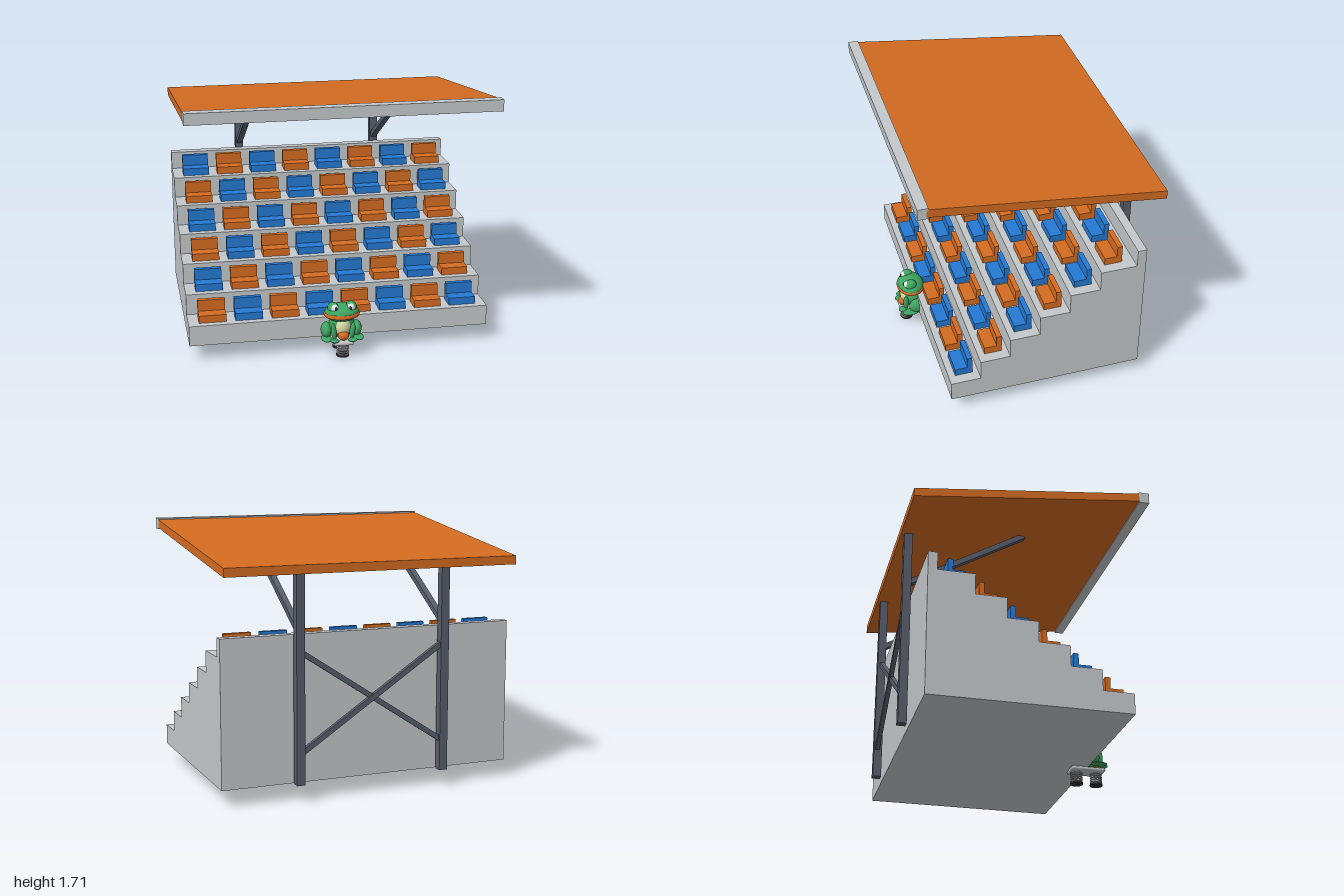
import * as THREE from 'three';
import { RoundedBoxGeometry } from 'three/addons/geometries/RoundedBoxGeometry.js';

const paint = (name, color) => {
  const m = new THREE.MeshStandardMaterial({ color });
  m.name = name;
  return m;
};

export function createModel() {
  const concrete = paint('concrete', 0xc4c8ca);
  const orange = paint('orange', 0xd46c22);
  const blue = paint('blue', 0x2479d2);
  const steel = paint('steel', 0x575e6b);
  const green = paint('green', 0x3fa562);
  const cream = paint('cream', 0xd9dba6);
  const white = paint('white', 0xf2f2f2);
  const dark = paint('dark', 0x2c2c34);
  const metal = paint('springMetal', 0xc2c3c9);

  const model = new THREE.Group();
  model.name = 'grandstand';

  const add = (parent, name, geometry, material, x = 0, y = 0, z = 0) => {
    const mesh = new THREE.Mesh(geometry, material);
    mesh.name = name;
    mesh.position.set(x, y, z);
    parent.add(mesh);
    return mesh;
  };
  const group = (name, parent = model) => {
    const g = new THREE.Group();
    g.name = name;
    parent.add(g);
    return g;
  };
  // Box given by its limits
  const block = (parent, name, mat, x0, x1, y0, y1, z0, z1) =>
    add(parent, name, new THREE.BoxGeometry(x1 - x0, y1 - y0, z1 - z0), mat,
      (x0 + x1) / 2, (y0 + y1) / 2, (z0 + z1) / 2);
  // Side profile of [z, y] points, extruded over the full width
  const acrossWidth = (points) => {
    const shape = new THREE.Shape(points.map(([z, y]) => new THREE.Vector2(z, y)));
    return new THREE.ExtrudeGeometry(shape, { depth: 2, bevelEnabled: false })
      .rotateY(-Math.PI / 2).translate(1, 0, 0);
  };
  // Square bar between two points
  const bar = (parent, name, from, to, w, d) => {
    const a = new THREE.Vector3(...from), b = new THREE.Vector3(...to);
    const dir = b.clone().sub(a);
    const mesh = add(parent, name, new THREE.BoxGeometry(w, dir.length(), d), steel);
    mesh.position.copy(a).add(b).multiplyScalar(0.5);
    mesh.quaternion.setFromUnitVectors(new THREE.Vector3(0, 1, 0), dir.normalize());
    return mesh;
  };
  const ball = (parent, name, mat, pos, radii) => {
    const mesh = add(parent, name, new THREE.SphereGeometry(1, 24, 16), mat, ...pos);
    mesh.scale.set(...radii);
    return mesh;
  };

  // Stepped terrace with a low wall behind the top row
  const rows = 6, rise = 0.14, run = 0.2, frontZ = 0.615, baseY = 0.113;
  const profile = [[-0.685, baseY], [frontZ, baseY]];
  for (let r = 0; r < rows; r++) {
    const y = 0.25 + r * rise;
    profile.push([frontZ - r * run, y], [r < rows - 1 ? frontZ - (r + 1) * run : -0.625, y]);
  }
  profile.push([-0.625, 1.07], [-0.685, 1.07]);
  add(model, 'terrace', acrossWidth(profile), concrete);

  // Seats in a checkerboard of two colours
  const seats = group('seats');
  for (let r = 0; r < rows; r++) {
    for (let i = 0; i < 8; i++) {
      const x = (i - 3.5) * 0.24, y = 0.25 + r * rise, z = 0.57 - r * run;
      const mat = (r + i) % 2 ? blue : orange;
      const seat = group('seat', seats);
      block(seat, 'seatBase', mat, x - 0.09, x + 0.09, y, y + 0.05, z - 0.085, z);
      block(seat, 'seatBack', mat, x - 0.09, x + 0.09, y, y + 0.125, z - 0.117, z - 0.083);
    }
  }

  // Sloping roof and its front edge
  add(model, 'roof', acrossWidth(
    [[-0.785, 1.455], [0.73, 1.645], [0.73, 1.702], [-0.785, 1.512]]), orange);
  block(model, 'roofFascia', concrete, -1, 1, 1.635, 1.71, 0.717, 0.785);

  // Posts, roof struts and cross bracing
  const frame = group('frame');
  for (const s of [-1, 1]) {
    block(frame, 'post', steel, s * 0.5 - 0.028, s * 0.5 + 0.028, 0.113, 1.475, -0.762, -0.706);
    bar(frame, 'roofStrut', [s * 0.5, 1.105, -0.72], [s * 0.5, 1.56, 0.055], 0.04, 0.036);
    bar(frame, 'crossBrace', [s * 0.5, 0.31, -0.734 - s * 0.004],
      [-s * 0.5, 0.97, -0.734 - s * 0.004], 0.034, 0.03);
  }

  // Spring rider: footplate on two coil springs
  const rider = group('springRider');
  add(rider, 'footplate', new RoundedBoxGeometry(0.13, 0.026, 0.236, 3, 0.011), metal, 0, 0.099, 0.617);
  const coil = [];
  for (let i = 0; i <= 60; i++) {
    const t = i / 60, a = t * 5 * Math.PI * 2;
    coil.push(new THREE.Vector3(0.036 * Math.cos(a), 0.012 + t * 0.074, 0.036 * Math.sin(a)));
  }
  const coilGeo = new THREE.TubeGeometry(new THREE.CatmullRomCurve3(coil), 160, 0.005, 6);
  for (const z of [0.685, 0.548]) {
    add(rider, 'spring', coilGeo, metal, 0, 0, z);
    add(rider, 'springFoot', new THREE.CylinderGeometry(0.043, 0.043, 0.012, 24), dark, 0, 0.006, z);
  }

  // Seated frog
  const frog = group('frog', rider);
  ball(frog, 'body', green, [0, 0.2, 0.635], [0.085, 0.088, 0.075]);
  ball(frog, 'belly', cream, [0, 0.2, 0.66], [0.06, 0.07, 0.062]);
  ball(frog, 'head', green, [0, 0.292, 0.645], [0.115, 0.06, 0.09]);
  const mouth = add(frog, 'mouthBand', new THREE.TorusGeometry(1, 0.14, 12, 40).rotateX(Math.PI / 2),
    orange, 0, 0.284, 0.645);
  mouth.scale.set(0.105, 0.115, 0.084);
  ball(frog, 'ball', orange, [0, 0.15, 0.705], [0.037, 0.033, 0.035]);
  for (const s of [-1, 1]) {
    ball(frog, 'eyeBulge', green, [s * 0.06, 0.33, 0.655], [0.037, 0.038, 0.042]);
    ball(frog, 'eyeWhite', white, [s * 0.055, 0.334, 0.68], [0.026, 0.027, 0.024]);
    ball(frog, 'pupil', dark, [s * 0.05, 0.334, 0.696], [0.012, 0.017, 0.01]);
    ball(frog, 'haunch', green, [s * 0.1, 0.165, 0.625], [0.036, 0.052, 0.055]);
    ball(frog, 'hindFoot', green, [s * 0.105, 0.121, 0.672], [0.036, 0.009, 0.06]);
    const leg = ball(frog, 'frontLeg', green, [s * 0.062, 0.175, 0.695], [0.018, 0.06, 0.02]);
    leg.rotation.z = s * -0.12;
    ball(frog, 'frontFoot', green, [s * 0.06, 0.121, 0.718], [0.03, 0.009, 0.032]);
  }
  return model;
}
